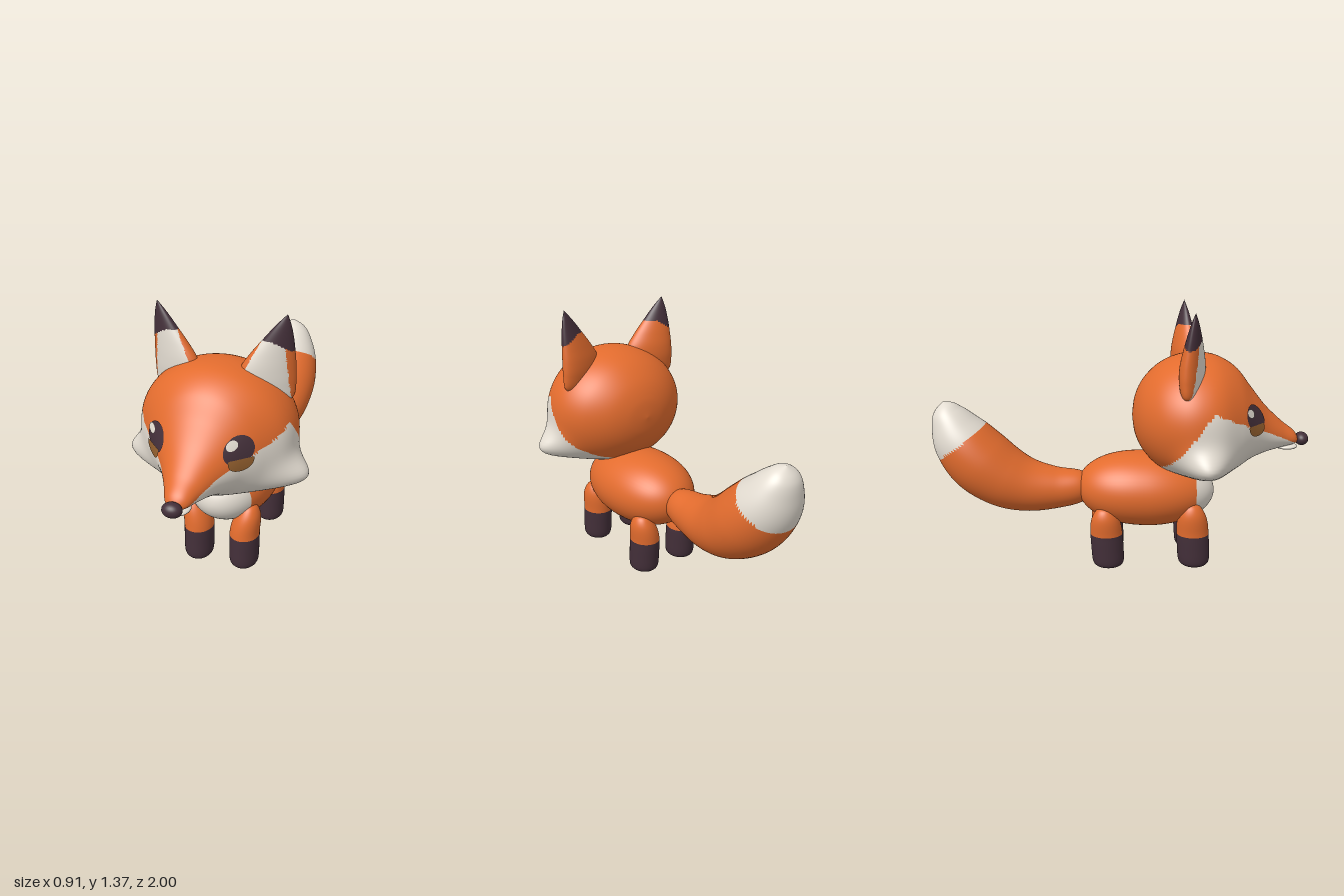
import * as THREE from 'three';
import { mergeVertices } from 'three/addons/utils/BufferGeometryUtils.js';

const paint = (name, color) => Object.assign(new THREE.MeshStandardMaterial({ color }), { name });

// Smooth (uniform Catmull-Rom) lookup in a short table of cross-sections, t in 0..1
function sample(rows, t) {
  const n = rows.length - 1;
  const i = Math.min(Math.floor(t * n), n - 1);
  const f = t * n - i;
  const [a, b, c, d] = [rows[Math.max(i - 1, 0)], rows[i], rows[i + 1], rows[Math.min(i + 2, n)]];
  return b.map((_, k) => b[k] + 0.5 * f * (c[k] - a[k]
    + f * (2 * a[k] - 5 * b[k] + 4 * c[k] - d[k] + f * (3 * (b[k] - c[k]) + d[k] - a[k]))));
}

// Closed skin from point(u, angle); pick(centre) chooses the material of each face
function loft(name, nu, nv, point, materials, pick = () => 0) {
  const pts = [];
  for (let i = 0; i <= nu; i++)
    for (let j = 0; j < nv; j++) pts.push(new THREE.Vector3(...point(i / nu, (j / nv) * Math.PI * 2)));
  const faces = [];
  let volume = 0;
  const add = (a, b, c) => {
    faces.push([a, b, c]);
    volume += pts[a].dot(pts[b].clone().cross(pts[c]));
  };
  for (let i = 0; i < nu; i++)
    for (let j = 0; j < nv; j++) {
      const a = i * nv + j, b = i * nv + (j + 1) % nv;
      add(a, b, b + nv);
      add(a, b + nv, a + nv);
    }
  const lists = materials.map(() => []);
  for (const [a, b, c] of faces) {
    const mid = pts[a].clone().add(pts[b]).add(pts[c]).divideScalar(3);
    lists[pick(mid)].push(...(volume > 0 ? [a, b, c] : [a, c, b]));
  }
  let geo = new THREE.BufferGeometry().setFromPoints(pts);
  geo.setIndex(lists.flat());
  let start = 0;
  lists.forEach((l, k) => { geo.addGroup(start, l.length, k); start += l.length; });
  geo = mergeVertices(geo, 1e-5);
  geo.computeVertexNormals();
  const mesh = new THREE.Mesh(geo, materials);
  mesh.name = name;
  return mesh;
}

export function createModel() {
  const orange = paint('orange fur', 0xe36c2e);
  const cream = paint('cream fur', 0xe4ddd2);
  const dark = paint('dark fur', 0x432f39);
  const amber = paint('amber iris', 0x935f2e);
  const model = new THREE.Group();
  model.name = 'fox';

  // Head: z, top, bottom, half width, height of the widest point
  const headRows = [
    [0.06, 0.81, 0.81, 0, 0.81], [0.075, 0.909, 0.711, 0.117, 0.81], [0.12, 1.0, 0.62, 0.224, 0.81],
    [0.2, 1.078, 0.543, 0.318, 0.81], [0.3, 1.125, 0.505, 0.373, 0.81], [0.4, 1.136, 0.49, 0.385, 0.81],
    [0.5, 1.12, 0.495, 0.36, 0.80], [0.6, 1.06, 0.53, 0.285, 0.78], [0.68, 0.96, 0.575, 0.21, 0.76],
    [0.76, 0.86, 0.607, 0.142, 0.73], [0.85, 0.775, 0.632, 0.088, 0.70], [0.92, 0.72, 0.65, 0.052, 0.68],
    [0.95, 0.67, 0.67, 0, 0.67],
  ];
  const head = loft('head', 110, 110, (u, a) => {
    const [z, top, bottom, w, mid] = sample(headRows, u);
    const s = Math.sin(a);
    const y = mid + s * (s > 0 ? top - mid : mid - bottom);
    let x = w * Math.cos(a);
    // Cheek tufts push outwards
    const dy = (y - 0.595) / (y > 0.595 ? 0.1 : 0.08), dz = (z - 0.43) / 0.13;
    x += Math.sign(x) * Math.sqrt(Math.abs(x) / 0.3) * 0.155 * Math.exp(-dy * dy - dz * dz);
    return [x, y, z];
  }, [orange, cream], p =>
    p.y < 0.9 - 0.5 * (p.z - 0.45) && p.z > 0.45 - 0.735 * (0.9 - p.y) ? 1 : 0);
  model.add(head);

  // Nose and lower lip
  const ball = (name, mat, pos, size) => {
    const m = new THREE.Mesh(new THREE.SphereGeometry(1, 32, 20), mat);
    m.name = name;
    m.position.set(...pos);
    m.scale.set(...size);
    model.add(m);
  };
  ball('nose', dark, [0, 0.675, 0.964], [0.047, 0.035, 0.036]);
  ball('lowerLip', cream, [0, 0.634, 0.885], [0.05, 0.016, 0.06]);

  // Eye patches: thin ovals draped over the head surface
  const ray = new THREE.Raycaster();
  const back = new THREE.Vector3(0, 0, -1);
  function patch(name, mat, cx, cy, rx, ry, tilt, lift, yMax = 9) {
    const rings = 5, n = 28, pts = [], idx = [];
    for (let r = 0; r <= rings; r++)
      for (let j = 0; j < n; j++) {
        const a = (j / n) * Math.PI * 2, k = r / rings;
        const ex = rx * k * Math.cos(a), ey = ry * k * Math.sin(a);
        const x = cx + ex * Math.cos(tilt) - ey * Math.sin(tilt);
        const y = Math.min(cy + ex * Math.sin(tilt) + ey * Math.cos(tilt), yMax);
        ray.set(new THREE.Vector3(x, y, 3), back);
        const hit = ray.intersectObject(head)[0];
        pts.push(hit.point.clone().addScaledVector(hit.face.normal, lift));
        if (r < rings) {
          const p = r * n + j, q = r * n + (j + 1) % n;
          idx.push(p, p + n, q + n, p, q + n, q);
        }
      }
    let geo = new THREE.BufferGeometry().setFromPoints(pts);
    geo.setIndex(idx);
    geo = mergeVertices(geo, 1e-5);
    geo.computeVertexNormals();
    const m = new THREE.Mesh(geo, mat);
    m.name = name;
    model.add(m);
  }

  // Ears: y, outer x, inner x, half depth
  const earRows = [
    [0.94, 0.3, 0.2, 0.01], [0.97, 0.345, 0.11, 0.045], [1.04, 0.353, 0.09, 0.06], [1.11, 0.352, 0.105, 0.06],
    [1.18, 0.348, 0.15, 0.05], [1.25, 0.342, 0.205, 0.036], [1.32, 0.331, 0.262, 0.019], [1.376, 0.315, 0.315, 0],
  ];
  const makeEar = (name, s) => loft(name, 60, 60, (u, a) => {
    const [y, outer, inner, depth] = sample(earRows, u);
    const dx = ((outer - inner) / 2) * Math.cos(a);
    return [s * ((outer + inner) / 2 + dx), y, 0.35 - 0.28 * dx + depth * Math.sin(a)];
  }, [orange, cream, dark], p => {
    const x = Math.abs(p.x);
    if (p.y > 1.25 - 0.6 * Math.max(0, x - 0.26)) return 2;
    const [outer, inner] = [0.31 + 0.1 * (1.25 - p.y), 0.215 - 0.5 * (1.25 - p.y)];
    const middle = 0.35 - 0.28 * (x - (0.35 + inner) / 2);
    return p.z > middle && x < outer && x > inner - 0.01 ? 1 : 0;
  });

  // Legs: y, radius
  const legRows = [
    [0.005, 0], [0.005, 0.045], [0.014, 0.064], [0.04, 0.075], [0.11, 0.077], [0.185, 0.077],
    [0.25, 0.073], [0.3, 0.062], [0.34, 0.042], [0.358, 0.022], [0.365, 0],
  ];
  const makeLeg = (name, s, z, drop) => loft(name, 50, 36, (u, a) => {
    const [y, r] = sample(legRows, u);
    const lean = 0.025 * THREE.MathUtils.smoothstep(y, 0.18, 0.36);
    return [s * (0.125 + lean + r * Math.cos(a)), y - drop * u,
      z + 0.01 - 0.06 * y + 1.12 * r * Math.sin(a)];
  }, [orange, dark], p => (p.y < 0.185 ? 1 : 0));

  // Mirrored parts
  for (const [side, s] of [['left', 1], ['right', -1]]) {
    model.add(makeEar(side + 'Ear', s));
    model.add(makeLeg(side + 'FrontLeg', s, 0.385, 0));
    model.add(makeLeg(side + 'BackLeg', s, -0.075, 0.025));
    patch(side + 'Eye', dark, s * 0.197, 0.843, 0.057, 0.064, s * 0.2, 0.004);
    patch(side + 'Iris', amber, s * 0.208, 0.795, 0.046, 0.046, 0, 0.007, 0.805);
    patch(side + 'EyeGlint', cream, s * 0.197 - 0.028, 0.867, 0.022, 0.022, 0, 0.008);
  }

  // Body with cream chest
  model.add(loft('body', 64, 56, (u, a) => {
    const k = -Math.cos(u * Math.PI);
    const r = Math.sqrt(Math.max(0, 1 - Math.abs(k) ** (k < 0 ? 2.3 : 2)));
    return [0.235 * r * Math.cos(a), 0.4 - 0.01 * k + 0.2 * r * Math.sin(a), 0.135 + 0.37 * k];
  }, [orange, cream], p => (p.z > 0.395 ? 1 : 0)));

  // Tail: z, y, half thickness, half width
  const tailRows = [
    [-0.14, 0.42, 0, 0], [-0.2, 0.41, 0.08, 0.08], [-0.35, 0.4, 0.113, 0.12], [-0.5, 0.415, 0.142, 0.155],
    [-0.63, 0.465, 0.165, 0.182], [-0.755, 0.56, 0.175, 0.192], [-0.85, 0.68, 0.152, 0.168],
    [-0.905, 0.79, 0.1, 0.115], [-0.925, 0.85, 0.055, 0.065], [-0.935, 0.88, 0, 0],
  ];
  model.add(loft('tail', 80, 64, (u, a) => {
    const [z, y, h, w] = sample(tailRows, u);
    const p = sample(tailRows, Math.max(u - 0.04, 0)), q = sample(tailRows, Math.min(u + 0.04, 1));
    const len = Math.hypot(q[0] - p[0], q[1] - p[1]);
    const k = (h * Math.sin(a)) / len;
    return [w * Math.cos(a), y - k * (q[0] - p[0]), z + k * (q[1] - p[1])];
  }, [orange, cream], p => (p.y > 0.765 + 0.72 * (p.z + 0.71) ? 1 : 0)));

  return model;
}
